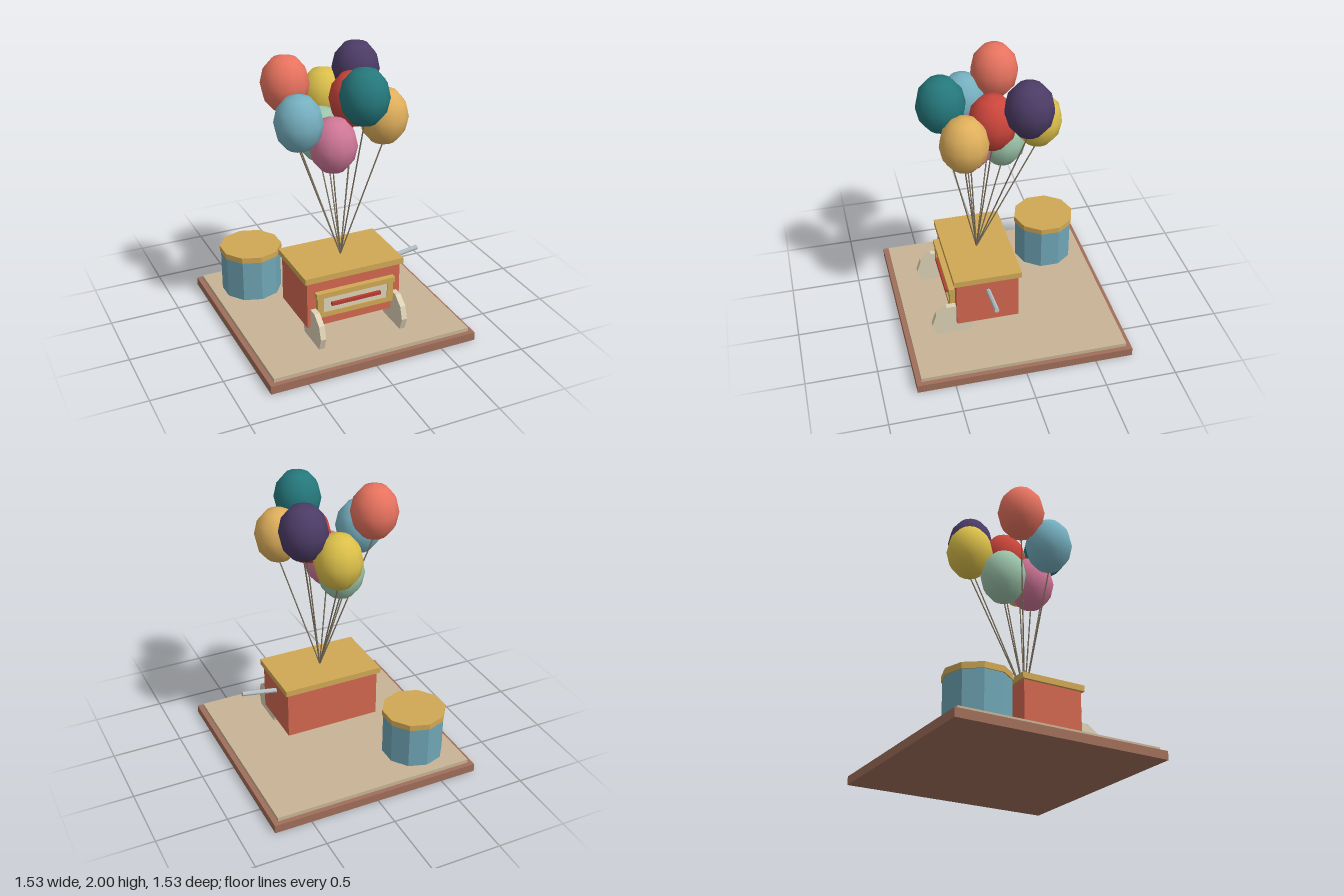
import * as THREE from 'three';

const mat = (color, flatShading = true) => new THREE.MeshStandardMaterial({ color, flatShading });
const gold = mat(0xd0a855), red = mat(0xd2674f), cream = mat(0xddd2b6), blue = mat(0x6fa5b5);
const wood = mat(0xa06e5a), sand = mat(0xc8b496), crimson = mat(0xb83c32);
const steel = mat(0xb4bec3), cord = mat(0x807560);

function add(parent, name, geometry, material) {
  const mesh = new THREE.Mesh(geometry, material);
  mesh.name = name;
  parent.add(mesh);
  return mesh;
}

// Box given by its minimum and maximum on each axis
function box(parent, name, [x0, x1], [y0, y1], [z0, z1], material) {
  const mesh = add(parent, name, new THREE.BoxGeometry(x1 - x0, y1 - y0, z1 - z0), material);
  mesh.position.set((x0 + x1) / 2, (y0 + y1) / 2, (z0 + z1) / 2);
  return mesh;
}

// Cylinder running between two points
function rod(parent, name, a, b, radius, sides, material) {
  const dir = b.clone().sub(a);
  const mesh = add(parent, name, new THREE.CylinderGeometry(radius, radius, dir.length(), sides), material);
  mesh.position.copy(a).add(b).multiplyScalar(0.5);
  mesh.quaternion.setFromUnitVectors(new THREE.Vector3(0, 1, 0), dir.normalize());
  return mesh;
}

function createBase() {
  const g = new THREE.Group();
  g.name = 'base';
  box(g, 'baseSlab', [-0.765, 0.765], [0, 0.06], [-0.765, 0.765], wood);
  box(g, 'ground', [-0.73, 0.73], [0.05, 0.088], [-0.73, 0.73], sand);
  return g;
}

function createCart() {
  const g = new THREE.Group();
  g.name = 'cart';
  box(g, 'cartBody', [-0.35, 0.35], [0.18, 0.54], [-0.043, 0.4], red);
  box(g, 'cartTop', [-0.37, 0.37], [0.53, 0.573], [-0.062, 0.418], gold);

  // Framed front panel
  const shape = new THREE.Shape([[-0.285, 0.26], [0.285, 0.26], [0.285, 0.42], [-0.285, 0.42]]
    .map(p => new THREE.Vector2(...p)));
  shape.holes.push(new THREE.Path([[-0.24, 0.297], [-0.24, 0.412], [0.24, 0.412], [0.24, 0.297]]
    .map(p => new THREE.Vector2(...p))));
  const frame = add(g, 'panelFrame', new THREE.ExtrudeGeometry(shape, { depth: 0.045, bevelEnabled: false }), gold);
  frame.position.z = 0.39;
  box(g, 'panelLedge', [-0.295, 0.295], [0.412, 0.45], [0.39, 0.442], gold);
  box(g, 'panelFace', [-0.245, 0.245], [0.29, 0.415], [0.39, 0.428], cream);
  box(g, 'panelStripe', [-0.185, 0.185], [0.342, 0.366], [0.41, 0.448], crimson);

  // Ten-sided wheels
  for (const s of [-1, 1]) {
    const wheel = add(g, s > 0 ? 'leftWheel' : 'rightWheel',
      new THREE.CylinderGeometry(0.153, 0.153, 0.04, 10), cream);
    wheel.rotation.z = Math.PI / 2;
    wheel.position.set(s * 0.307, 0.177, 0.42);
  }
  rod(g, 'handle', new THREE.Vector3(0.3, 0.434, 0.175), new THREE.Vector3(0.61, 0.483, 0.175), 0.017, 8, steel);
  return g;
}

function createDrum() {
  const g = new THREE.Group();
  g.name = 'drum';
  g.position.set(-0.44, 0, -0.44);
  add(g, 'drumBody', new THREE.CylinderGeometry(0.218, 0.218, 0.33, 10), blue).position.y = 0.24;
  add(g, 'drumLid', new THREE.CylinderGeometry(0.226, 0.226, 0.042, 10), gold).position.y = 0.418;
  return g;
}

function createBalloons() {
  const g = new THREE.Group();
  g.name = 'balloons';
  const knot = new THREE.Vector3(0, 0.572, 0.178);
  const ball = new THREE.SphereGeometry(1, 12, 6).scale(0.165, 0.197, 0.165);
  // x, y, z, colour
  const list = [
    [-0.31, 1.803, -0.03, 0xe8735f], [-0.31, 1.605, 0.195, 0x76b0c0], [-0.065, 1.41, 0.195, 0xcf7797],
    [-0.065, 1.41, -0.025, 0x9cc4aa], [0.055, 1.803, 0.41, 0x25787c], [0.25, 1.605, 0.3, 0xe0b05c],
    [0.13, 1.67, 0.087, 0xcc463c], [0.25, 1.803, -0.127, 0x4c3c66], [0.055, 1.605, -0.237, 0xdcc04a],
  ];
  for (const [x, y, z, color] of list) {
    add(g, 'balloon', ball, mat(color, false)).position.set(x, y, z);
    rod(g, 'string', knot, new THREE.Vector3(x, y - 0.185, z), 0.005, 5, cord);
  }
  return g;
}

export function createModel() {
  const model = new THREE.Group();
  model.name = 'balloonCart';
  model.add(createBase(), createCart(), createDrum(), createBalloons());
  return model;
}
